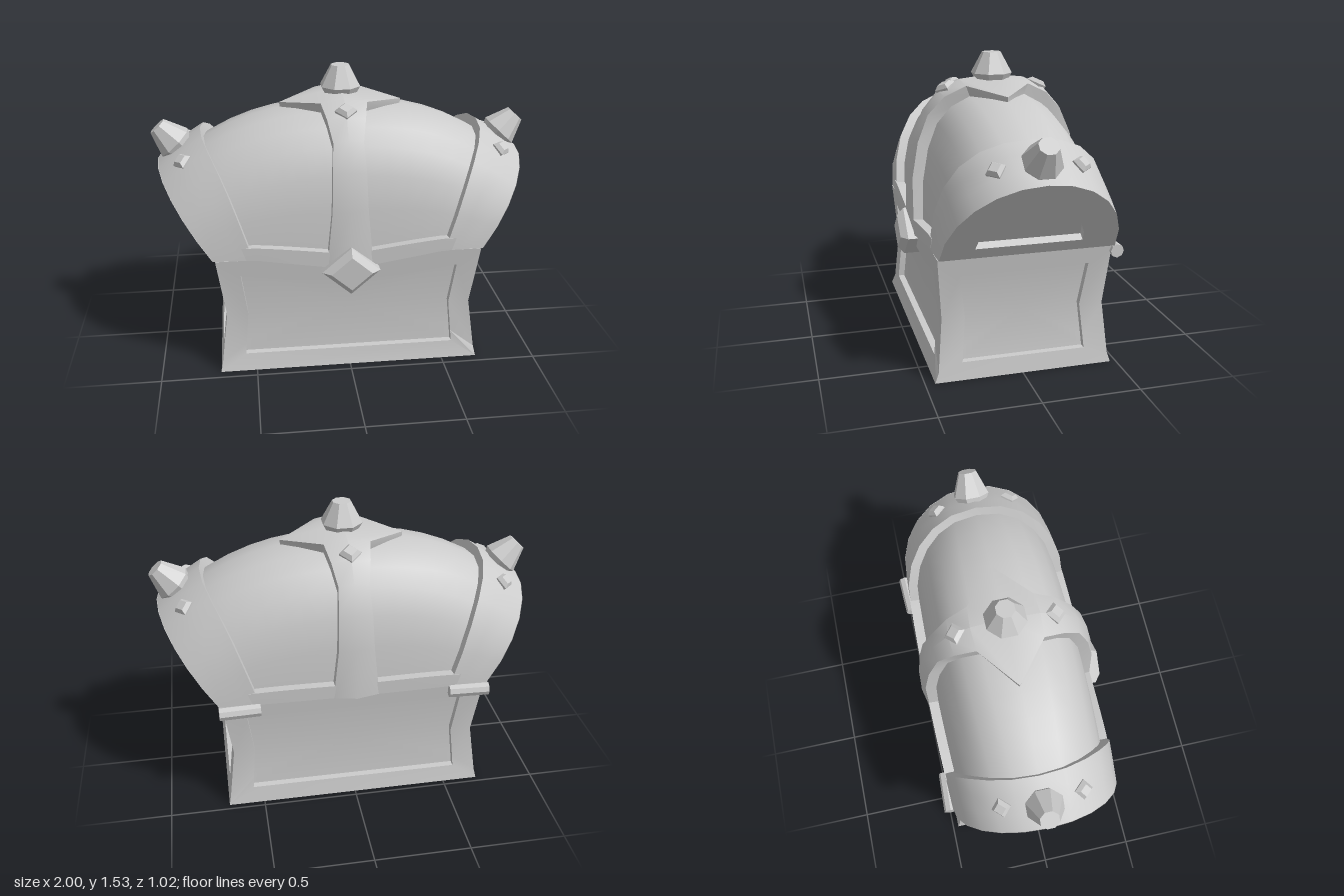
import * as THREE from 'three';
import { toCreasedNormals } from 'three/addons/utils/BufferGeometryUtils.js';

const mat = new THREE.MeshStandardMaterial({ color: 0xcccccc, side: THREE.DoubleSide });
const flat = new THREE.MeshStandardMaterial({ color: 0xcccccc, flatShading: true });
const V = (x, y, z) => new THREE.Vector3(x, y, z);

// Piecewise linear interpolation through [position, value] knots
function lerpKnots(knots, p) {
  for (let i = 1; i < knots.length; i++) {
    const [p0, v0] = knots[i - 1], [p1, v1] = knots[i];
    if (p <= p1 || i === knots.length - 1) return v0 + (v1 - v0) * (p - p0) / (p1 - p0);
  }
}

function meshFrom(tris, name, crease) {
  const g = new THREE.BufferGeometry().setFromPoints(tris);
  const mesh = new THREE.Mesh(toCreasedNormals(g, crease), mat);
  mesh.name = name;
  return mesh;
}

// Frame with a recessed panel: matching loops in 2D, mapped to space with a depth
function framedFace(name, outer, inner, centre, depth, map, flip) {
  const tris = [];
  const tri = (a, b, c) => (flip ? tris.push(a, c, b) : tris.push(a, b, c));
  const quad = (a, b, c, d) => { tri(a, b, c); tri(a, c, d); };
  const at = (p, d) => map(p[0], p[1], d);
  const n = outer.length;
  for (let i = 0; i < n; i++) {
    const j = (i + 1) % n;
    quad(at(outer[i], 0), at(outer[j], 0), at(inner[j], 0), at(inner[i], 0));
    quad(at(inner[i], 0), at(inner[j], 0), at(inner[j], depth), at(inner[i], depth));
    tri(at(inner[i], depth), at(inner[j], depth), at(centre, depth));
  }
  return meshFrom(tris, name, 0.35);
}

// Waisted profiles of the base
const halfX = y => lerpKnots([[0, 0.69], [0.05, 0.68], [0.32, 0.645], [0.64, 0.69]], y);
const frontZ = y => lerpKnots([[0, 0.45], [0.05, 0.43], [0.32, 0.405], [0.64, 0.43]], y);
const backZ = y => lerpKnots([[0, -0.47], [0.05, -0.455], [0.32, -0.43], [0.64, -0.455]], y);

function wallLoops(lo, hi, mid, w, dip) {
  const outer = [[lo(0), 0], [hi(0), 0], [hi(0.05), 0.05], [hi(0.32), 0.32], [hi(0.64), 0.64],
    [mid + w * 0.5, 0.64], [mid, 0.64], [mid - w * 0.5, 0.64],
    [lo(0.64), 0.64], [lo(0.32), 0.32], [lo(0.05), 0.05]];
  const a = w - 0.01, b = w - 0.03;
  const inner = [[mid - a, 0.09], [mid + a, 0.09], [mid + a - 0.005, 0.15], [mid + b, 0.32], [mid + w, 0.55],
    [mid + w * 0.5, 0.55 - dip * 0.7], [mid, 0.55 - dip], [mid - w * 0.5, 0.55 - dip * 0.7],
    [mid - w, 0.55], [mid - b, 0.32], [mid - a + 0.005, 0.15]];
  return [outer, inner, [mid, 0.32]];
}

function buildBase() {
  const g = new THREE.Group();
  g.name = 'chestBase';
  const neg = y => -halfX(y);
  g.add(framedFace('frontWall', ...wallLoops(neg, halfX, 0, 0.565, 0.06), 0.035,
    (u, y, d) => V(u, y, frontZ(y) - d), false));
  g.add(framedFace('backWall', ...wallLoops(neg, halfX, 0, 0.565, 0), 0.035,
    (u, y, d) => V(u, y, backZ(y) + d), true));
  for (const s of [1, -1])
    g.add(framedFace(s > 0 ? 'leftWall' : 'rightWall', ...wallLoops(backZ, frontZ, -0.01, 0.328, 0), 0.035,
      (u, y, d) => V(s * (halfX(y) - d), y, u), s > 0));
  // Floor and top closing the box
  for (const [name, y, w, d] of [['floor', 0.16, 1.24, 0.77], ['innerTop', 0.635, 1.37, 0.88]]) {
    const m = new THREE.Mesh(new THREE.PlaneGeometry(w, d).rotateX(Math.PI / 2), mat);
    m.position.set(0, y, -0.012);
    m.name = name;
    g.add(m);
  }
  return g;
}

// Lid surface: a runs along the length (-1..1), t over the arch from front to back.
// The arch is boxy at the middle and elliptical at the ends.
const ZC = -0.02;
function lidPoint(a, t, off) {
  const foot = V(0.7 * a, 0.64, 0);
  const dir = V(0.945 * a, 1.335 - 0.325 * Math.pow(Math.abs(a), 2.5), 0).sub(foot);
  const h = dir.length() + off;
  const e = 0.75 + 0.22 * Math.min(1, a * a);
  const power = v => Math.sign(v) * Math.pow(Math.abs(v), e);
  const c = power(Math.cos(t)), s = power(Math.max(0, Math.sin(t)));
  const p = foot.addScaledVector(dir.normalize(), h * s);
  p.z = ZC + (0.41 - 0.015 * a * a + off) * c;
  if (c > 0) p.y -= 0.075 * Math.max(0, 1 - Math.abs(a) / 0.7) * (1 - s) ** 2; // sagging front edge
  return p;
}

// Raised patch on the lid with skirts down to the barrel; tLo and tHi depend on the fraction along it
function lidPatch(name, aLo, aHi, tLo, tHi, nA, nT, off, skirt = true) {
  const tris = [];
  const quad = (a, b, c, d) => tris.push(a, b, c, a, c, d);
  const P = (i, j, top) => {
    const u = i / nA, t = tLo(u) + (tHi(u) - tLo(u)) * j / nT;
    const a = aLo(t) + (aHi(t) - aLo(t)) * u;
    return lidPoint(a, t, top ? off(a) : -0.005);
  };
  for (let i = 0; i < nA; i++)
    for (let j = 0; j < nT; j++)
      quad(P(i, j, 1), P(i + 1, j, 1), P(i + 1, j + 1, 1), P(i, j + 1, 1));
  const wall = (i, j, k, l) => quad(P(i, j, 1), P(i, j, 0), P(k, l, 0), P(k, l, 1));
  if (skirt) {
    for (let i = 0; i < nA; i++) { wall(i, 0, i + 1, 0); wall(i + 1, nT, i, nT); }
    for (let j = 0; j < nT; j++) { wall(nA, j, nA, j + 1); wall(0, j + 1, 0, j); }
  }
  return meshFrom(tris, name, 0.5);
}

// Faceted stud or spike standing on the lid
function stud(name, a, t, off, r0, r1, h, sides, dir) {
  const g = new THREE.LatheGeometry([[r0 * 0.8, -0.03], [r0, 0.01], [r1, h], [0, h]]
    .map(q => new THREE.Vector2(...q)), sides);
  if (sides > 4) g.rotateY(Math.PI / sides);
  const m = new THREE.Mesh(g, flat);
  m.position.copy(lidPoint(a, t, off));
  m.quaternion.setFromUnitVectors(V(0, 1, 0), dir.normalize());
  m.name = name;
  return m;
}

function buildLid() {
  const g = new THREE.Group();
  g.name = 'lid';
  const k = v => () => v;
  const start = k(0), end = k(Math.PI), ARC = 12;
  g.add(lidPatch('barrel', k(-1), k(1), start, end, 16, ARC, k(0), false));

  // Lower rails front and back, of even height
  const rail = u => 0.045 + 0.04 * (2 * u - 1) ** 2;
  g.add(lidPatch('frontRail', k(-0.76), k(0.76), start, rail, 16, 2, k(0.05)));
  g.add(lidPatch('backRail', k(-0.76), k(0.76), u => Math.PI - rail(u), end, 16, 2, k(0.05)));

  // Centre strap widening into a diamond at the top
  const knots = [[0, 0.17], [1 / 6, 0.115], [0.5, 0.085], [5 / 6, 0.125], [1, 0.34]];
  const w = t => lerpKnots(knots, 1 - Math.abs(1 - t / (Math.PI / 2)));
  g.add(lidPatch('centreStrap', t => -w(t), w, start, end, 2, ARC, a => 0.075 - 0.15 * Math.abs(a)));

  // End bands and end faces with a recessed half-moon
  const edge = t => 0.71 + 0.06 * Math.sin(t) ** 3;
  const up = lidPoint(1, Math.PI / 2, 0).sub(V(0.7, 0.64, 0)).setZ(0).normalize();
  const arch = f => Array.from({ length: ARC + 1 }, (_, i) => f(Math.PI * i / ARC));
  const outer = arch(t => {
    const p = lidPoint(1, t, 0.05);
    return [p.z, (p.y - 0.64) / up.y];
  });
  const inner = arch(t => [ZC + 0.01 + 0.268 * Math.cos(t), 0.072 + 0.25 * Math.sin(t)]);
  for (const s of [1, -1]) {
    g.add(s > 0 ? lidPatch('leftBand', edge, k(1), start, end, 3, ARC, k(0.05))
      : lidPatch('rightBand', k(-1), t => -edge(t), start, end, 3, ARC, k(0.05)));
    g.add(framedFace(s > 0 ? 'leftEnd' : 'rightEnd', outer, inner, [ZC, 0.15], 0.04,
      (u, v, d) => V(s * (0.702 + up.x * v - up.y * d), 0.64 + up.y * v + up.x * d, u), s > 0));
    g.add(stud('endSpike', s * 0.9, Math.PI / 2, 0.05, 0.1, 0.05, 0.135, 8, V(s * 0.68, 0.73, 0)));
    for (const z of [1, -1])
      g.add(stud('endStud', s * 0.88, Math.PI / 2 - z * 0.44, 0.045, 0.052, 0.032, 0.03, 4, V(s * 0.5, 0.75, z * 0.4)));
  }
  g.add(stud('topSpike', 0, Math.PI / 2, 0.075, 0.11, 0.05, 0.12, 8, V(0, 1, 0)));
  for (const z of [1, -1])
    g.add(stud('topStud', 0, Math.PI / 2 - z * 0.44, 0.065, 0.058, 0.035, 0.03, 4, V(0, 0.88, z * 0.4)));
  return g;
}

export function createModel() {
  const model = new THREE.Group();
  model.name = 'treasureChest';
  model.add(buildBase(), buildLid());

  // Diamond-shaped lock plate
  const lock = new THREE.Mesh(new THREE.LatheGeometry(
    [[0.15, -0.05], [0.15, 0.045], [0.105, 0.08], [0, 0.08]].map(q => new THREE.Vector2(...q)), 4), flat);
  lock.rotation.x = Math.PI / 2;
  lock.scale.z = 0.87;
  lock.position.set(0, 0.57, 0.43);
  lock.name = 'lock';
  model.add(lock);

  // Hinge barrels at the back
  for (const s of [1, -1]) {
    const hinge = new THREE.Mesh(new THREE.CylinderGeometry(0.035, 0.035, 0.21, 8), flat);
    hinge.rotation.set(0, s * 0.04, Math.PI / 2);
    hinge.position.set(s * 0.6, 0.61, -0.475);
    hinge.name = 'hinge';
    model.add(hinge);
  }
  return model;
}
